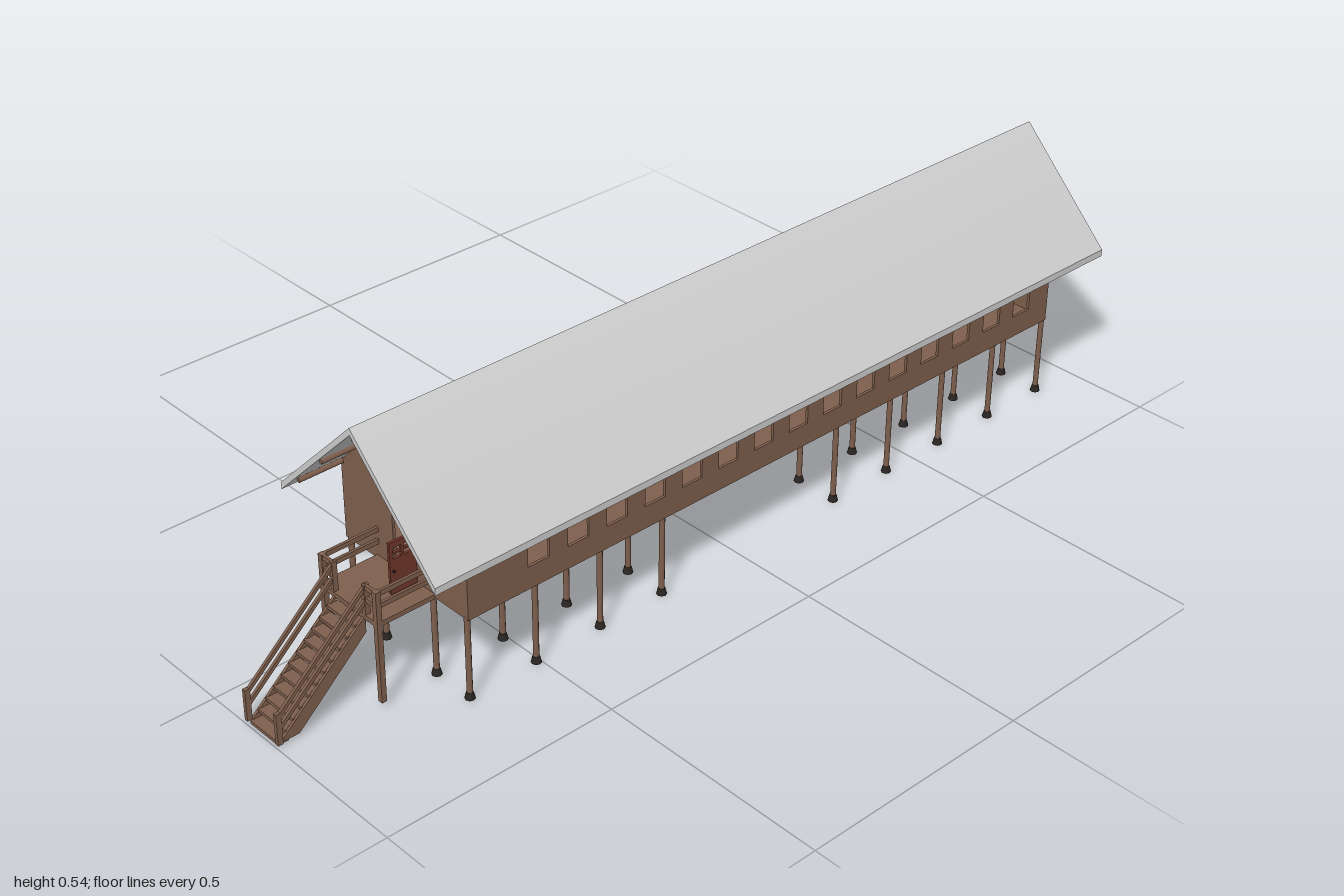
import * as THREE from 'three';

const mat = (color, side = THREE.FrontSide) => new THREE.MeshStandardMaterial({ color, side });
const wood = mat(0x7d5e4c);
const red = mat(0x6e3529);
const dark = mat(0x2a2522);
const metal = mat(0xcccccc, THREE.DoubleSide);

const CX = 0.143;                     // ridge line
const X0 = -0.033, X1 = 0.318;        // side walls
const Z0 = -0.887, Z1 = 0.67;         // gable walls
const FLOOR = 0.18, EAVE = 0.345, PEAK = 0.517;

function add(parent, name, geo, material, x = 0, y = 0, z = 0) {
  const m = new THREE.Mesh(geo, material);
  m.name = name;
  m.position.set(x, y, z);
  parent.add(m);
  return m;
}

// Box given by its min and max corners
function box(parent, name, x0, x1, y0, y1, z0, z1, material = wood) {
  return add(parent, name, new THREE.BoxGeometry(x1 - x0, y1 - y0, z1 - z0), material,
    (x0 + x1) / 2, (y0 + y1) / 2, (z0 + z1) / 2);
}

const poly = (pts) => new THREE.Shape(pts.map(([a, b]) => new THREE.Vector2(a, b)));
const rect = (a0, a1, b0, b1) => [[a0, b0], [a1, b0], [a1, b1], [a0, b1]];

// Flat panel with holes, extruded along +z
function panel(pts, depth, holes = []) {
  const s = poly(pts);
  for (const h of holes) s.holes.push(poly(h));
  return new THREE.ExtrudeGeometry(s, { depth, bevelEnabled: false });
}

// Same panel, drawn in the z-y plane and extruded along -x
const sidePanel = (pts, depth, holes) => panel(pts, depth, holes).rotateY(-Math.PI / 2);

// Porch, stair and open door; faces +z with the wall at z = 0
function entrance() {
  const g = new THREE.Group();
  g.name = 'entrance';
  box(g, 'porchDeck', -0.083, 0.083, 0.175, 0.185, 0, 0.128);
  for (const s of [-1, 1]) {
    const bar = (name, a, b, ...r) => box(g, name, Math.min(s * a, s * b), Math.max(s * a, s * b), ...r);
    bar('porchPost', 0.072, 0.083, 0.01, 0.248, 0.117, 0.128);
    bar('stairTopPost', 0.042, 0.05, FLOOR, 0.248, 0.117, 0.128);
    for (const y of [0.212, 0.238]) {
      bar('porchSideRail', 0.075, 0.081, y, y + 0.01, 0, 0.12);
      bar('porchFrontRail', 0.045, 0.075, y, y + 0.01, 0.12, 0.126);
    }
    bar('stairBottomPost', 0.042, 0.05, 0.004, 0.072, 0.318, 0.329);
    // Sloping handrails and stringer
    for (const d of [0, 0.027]) {
      const rail = [[0.122, 0.238 - d], [0.325, 0.056 - d], [0.325, 0.067 - d], [0.122, 0.249 - d]];
      add(g, 'handrail', sidePanel(rail, 0.006), wood, s * 0.046 + 0.003);
    }
    const stringer = [[0.125, 0.145], [0.28, 0.004], [0.322, 0.004], [0.125, 0.18]];
    add(g, 'stringer', sidePanel(stringer, 0.006), wood, s * 0.042 + 0.003);
  }
  for (let i = 0; i < 11; i++) {
    const y = 0.167 - i * 0.0162, z = 0.122 + i * 0.0178;
    box(g, 'tread', -0.041, 0.041, y - 0.007, y, z, z + 0.024);
  }
  // Door leaf standing open, with four panes cut out
  const panes = [];
  for (const z of [0.007, 0.032])
    for (const y of [0.258, 0.272]) panes.push(rect(z, z + 0.019, y, y + 0.01));
  add(g, 'door', sidePanel(rect(0, 0.058, 0.186, 0.294), 0.006, panes), red, 0.034);
  box(g, 'doorHandle', 0.023, 0.039, 0.233, 0.236, 0.05, 0.053, dark);
  return g;
}

export function createModel() {
  const model = new THREE.Group();
  model.name = 'stiltHouse';

  // Floor and walls
  box(model, 'floor', X0, X1, FLOOR - 0.003, FLOOR + 0.004, Z0, Z1);
  const gable = [[X0, FLOOR], [X1, FLOOR], [X1, EAVE], [CX, PEAK], [X0, EAVE]];
  const doorway = (c) => rect(c - 0.032, c + 0.032, FLOOR + 0.005, 0.3);
  add(model, 'frontWall', panel(gable, 0.006, [doorway(CX)]), wood, 0, 0, Z1 - 0.006);
  add(model, 'backWall', panel(gable, 0.006), wood, 0, 0, Z0);

  const doors = [0.275, -0.51];
  const windows = [];
  for (let i = 0; i < 15; i++) windows.push(0.507 - i * 0.0935);
  const opening = (z) => rect(z - 0.025, z + 0.025, 0.225, 0.275);
  const side = rect(Z0, Z1, FLOOR, EAVE);
  add(model, 'leftWall', sidePanel(side, 0.006, windows.map(opening)), wood, X1);
  const clear = windows.filter((z) => doors.every((d) => Math.abs(z - d) > 0.062));
  add(model, 'rightWall', sidePanel(side, 0.006, [...clear.map(opening), ...doors.map(doorway)]),
    wood, X0 + 0.006);

  // Roof: bent sheet, shaded softly over the ridge
  const roofGeo = panel([[-0.077, 0.304], [CX, 0.521], [0.361, 0.304], [0.361, 0.319],
    [CX, 0.536], [-0.077, 0.319]], 1.772);
  const p = roofGeo.attributes.position, n = roofGeo.attributes.normal;
  for (let i = 0; i < p.count; i++)
    if (Math.abs(p.getX(i) - CX) < 1e-4 && Math.abs(n.getY(i)) > 0.5)
      n.setXYZ(i, 0, Math.sign(n.getY(i)), 0);
  add(model, 'roof', roofGeo, metal, 0, 0, -1);

  // Round purlins under the roof
  for (const [x, y] of [[0, 0.51], [-0.1, 0.417], [0.1, 0.417], [-0.173, 0.343], [0.173, 0.343]])
    add(model, 'purlin', new THREE.CylinderGeometry(0.005, 0.005, 1.76, 8).rotateX(Math.PI / 2),
      wood, CX + x, y, -0.114);

  // Stilts on dark footings, with an open bay in the middle
  const stilt = new THREE.CylinderGeometry(0.0058, 0.0058, 0.17, 10);
  const footing = new THREE.CylinderGeometry(0.007, 0.0105, 0.014, 8);
  for (let i = 0; i < 11; i++) {
    if (i === 4 || i === 5) continue;
    const z = 0.665 - i * 0.1552;
    for (const x of [-0.025, 0.067, 0.214, 0.308]) {
      add(model, 'stilt', stilt, wood, x, 0.095, z);
      add(model, 'footing', footing, dark, x, 0.007, z);
    }
  }

  // Front entrance and two side entrances
  const front = entrance();
  front.position.set(CX, 0, Z1);
  model.add(front);
  for (const z of doors) {
    const e = entrance();
    e.position.set(X0, 0, z);
    e.rotation.y = -Math.PI / 2;
    model.add(e);
  }
  return model;
}
